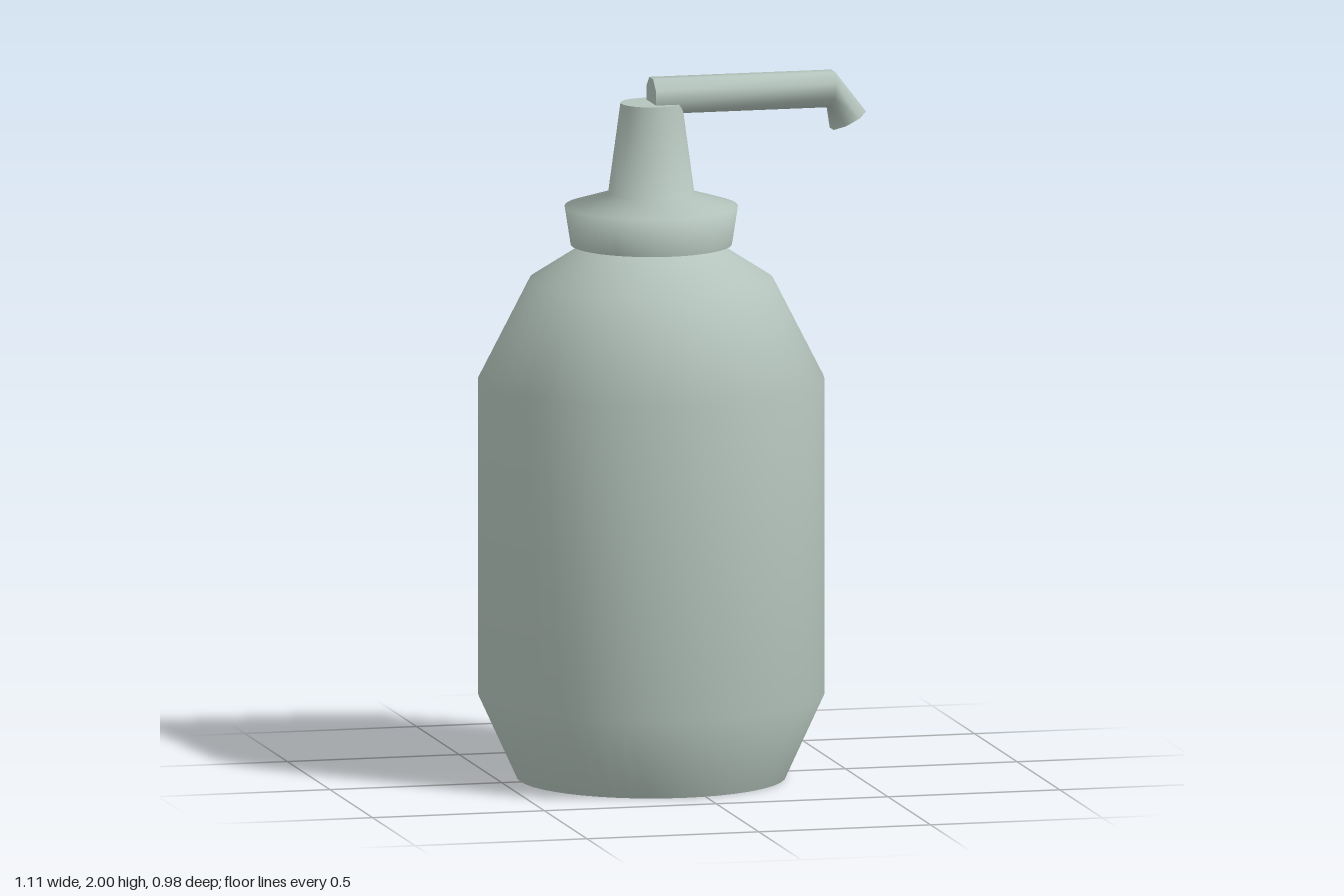
import * as THREE from 'three';

const AXIS_X = -0.065; // centre line of the bottle
const SEGMENTS = 48;

export function createModel() {
  const group = new THREE.Group();
  const plastic = new THREE.MeshStandardMaterial({ color: 0xb4c4bc });
  plastic.name = 'grey green plastic';

  const add = (name, geometry, x = 0, y = 0) => {
    const mesh = new THREE.Mesh(geometry, plastic);
    mesh.name = name;
    mesh.position.set(x, y, 0);
    group.add(mesh);
  };
  const lathe = (name, profile) =>
    add(name, new THREE.LatheGeometry(profile.map(p => new THREE.Vector2(...p)), SEGMENTS), AXIS_X);
  const disc = (name, radius, y, up) =>
    add(name, new THREE.CircleGeometry(radius, SEGMENTS).rotateX(up ? -Math.PI / 2 : Math.PI / 2), AXIS_X, y);

  // Bottle body with chamfered foot and shoulders
  lathe('body', [[0.38, 0], [0.49, 0.24], [0.49, 1.14], [0.345, 1.425], [0.185, 1.528]]);
  disc('bodyBase', 0.38, 0, false);

  // Pump collar tapering into the nozzle post
  lathe('pumpCollar', [[0.228, 1.525], [0.245, 1.635], [0.122, 1.672], [0.087, 1.93]]);
  disc('collarUnderside', 0.228, 1.525, false);
  disc('postTop', 0.087, 1.93, true);

  // Bent spout: each ring is given by its top and bottom point in the xy plane
  const rings = [
    [[AXIS_X, 2.0], [AXIS_X, 1.9]],
    [[0.465, 2.0], [0.45, 1.9]],
    [[0.555, 1.883], [0.46, 1.834]],
  ];
  const SIDES = 8, HALF_WIDTH = 0.055;
  const fit = Math.cos(Math.PI / SIDES);
  const ringPoints = ([top, bottom]) => Array.from({ length: SIDES }, (_, i) => {
    const a = (i + 0.5) / SIDES * Math.PI * 2;
    const t = 0.5 + 0.5 * Math.cos(a) / fit;
    return [
      bottom[0] + (top[0] - bottom[0]) * t,
      bottom[1] + (top[1] - bottom[1]) * t,
      HALF_WIDTH * Math.sin(a) / fit,
    ];
  });
  const build = (points, index) => {
    const geometry = new THREE.BufferGeometry();
    geometry.setAttribute('position', new THREE.Float32BufferAttribute(points.flat(), 3));
    geometry.setIndex(index);
    geometry.computeVertexNormals();
    return geometry;
  };

  const index = [];
  for (let r = 0; r < rings.length - 1; r++) {
    for (let i = 0; i < SIDES; i++) {
      const j = (i + 1) % SIDES;
      const a = r * SIDES + i, b = r * SIDES + j;
      index.push(a, a + SIDES, b, b, a + SIDES, b + SIDES);
    }
  }
  // Ring runs from +y to +z, so a, next ring, b would face inward: flip it
  for (let k = 0; k < index.length; k += 3) {
    const [u, v, w] = index.slice(k, k + 3);
    const p = rings.flatMap(ringPoints);
    const A = new THREE.Vector3(...p[u]), B = new THREE.Vector3(...p[v]), C = new THREE.Vector3(...p[w]);
    const normal = B.clone().sub(A).cross(C.clone().sub(A));
    const ring = Math.floor(Math.min(u, v, w) / SIDES);
    const centre = new THREE.Vector3();
    for (let i = 0; i < 2 * SIDES; i++) centre.add(new THREE.Vector3(...p[ring * SIDES + i]));
    centre.divideScalar(2 * SIDES);
    if (normal.dot(A.add(B).add(C).divideScalar(3).sub(centre)) < 0) {
      index[k + 1] = w;
      index[k + 2] = v;
    }
  }
  add('spout', build(rings.flatMap(ringPoints), index));

  // Flat ends of the spout
  const fan = forward => Array.from({ length: SIDES - 2 }, (_, i) =>
    forward ? [0, i + 1, i + 2] : [0, i + 2, i + 1]).flat();
  add('spoutBackEnd', build(ringPoints(rings[0]), fan(false)));
  add('spoutTip', build(ringPoints(rings[2]), fan(true)));

  return group;
}
